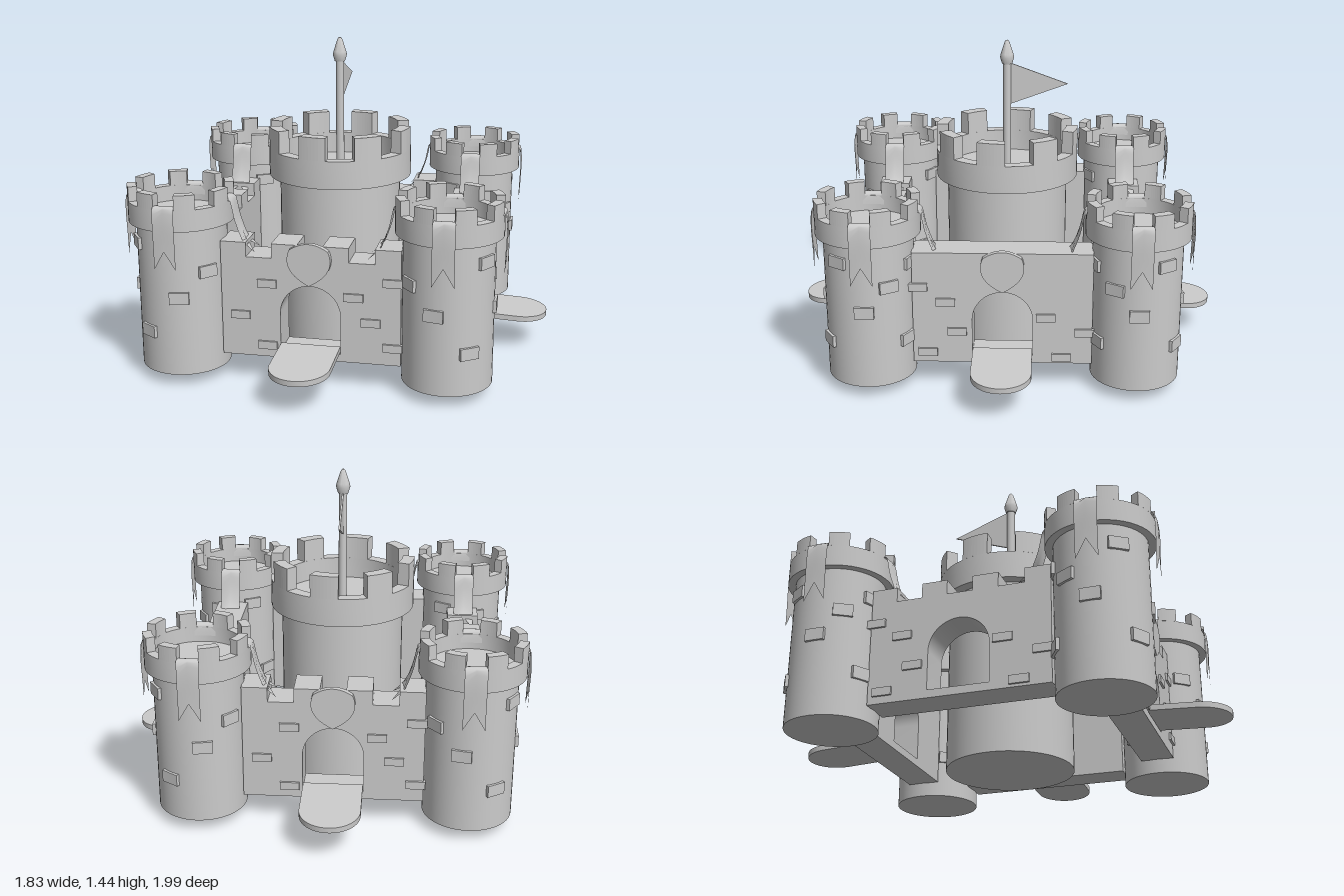
import * as THREE from 'three';
import { toCreasedNormals } from 'three/addons/utils/BufferGeometryUtils.js';

const grey = new THREE.MeshStandardMaterial({ color: 0xcccccc });
const cloth = new THREE.MeshStandardMaterial({ color: 0xcccccc, side: THREE.DoubleSide });

function add(parent, name, geometry, x = 0, y = 0, z = 0, material = grey) {
  const mesh = new THREE.Mesh(geometry, material);
  mesh.name = name;
  mesh.position.set(x, y, z);
  parent.add(mesh);
  return mesh;
}

function group(parent, name) {
  const g = new THREE.Group();
  g.name = name;
  parent.add(g);
  return g;
}

function extrude(shape, depth, curveSegments = 16) {
  return new THREE.ExtrudeGeometry(shape, { depth, bevelEnabled: false, curveSegments });
}

function lathe(points, segments = 48) {
  const g = new THREE.LatheGeometry(points.map(([r, y]) => new THREE.Vector2(r, y)), segments);
  return toCreasedNormals(g, 0.6);
}

// Round tower: shaft, hollow crown with a sunken floor, and eight merlons
function roundTower(parent, name, { bottom, ledge, floor, sill, top, shaft, inner, outer, turn }) {
  const tower = group(parent, name);
  add(tower, 'shaft', lathe([
    [0, bottom], [shaft, bottom], [shaft, ledge], [outer, ledge],
    [outer, sill], [inner, sill], [inner, floor], [0, floor],
  ]));
  const step = Math.PI / 8;
  const sector = new THREE.Shape();
  sector.absarc(0, 0, outer, 0, step, false);
  sector.absarc(0, 0, inner, step, 0, true);
  sector.closePath();
  const merlon = extrude(sector, top - sill, 4);
  merlon.rotateX(-Math.PI / 2);
  for (let i = 0; i < 8; i++) {
    add(tower, 'merlon', merlon, 0, sill, 0).rotation.y = i * 2 * step + turn;
  }
  return tower;
}

// Cloth strip following a path of [radius, height], with a swallow-tail end
function bannerGeometry(path) {
  const curve = new THREE.CatmullRomCurve3(
    path.map(([r, y]) => new THREE.Vector3(0, y, r)), false, 'catmullrom', 0.3);
  const rows = 16, pos = [], index = [];
  for (let i = 0; i <= rows; i++) {
    for (let j = -1; j <= 1; j++) {
      const p = curve.getPoint(j === 0 ? i / rows * 0.87 : i / rows);
      pos.push(j * 0.047, p.y, p.z + (j === 0 ? 0.004 : 0));
    }
  }
  for (let i = 0; i < rows; i++) {
    for (let j = 0; j < 2; j++) {
      const a = i * 3 + j, b = a + 3;
      index.push(a, b, a + 1, b, b + 1, a + 1);
    }
  }
  const g = new THREE.BufferGeometry();
  g.setAttribute('position', new THREE.Float32BufferAttribute(pos, 3));
  g.setIndex(index);
  g.computeVertexNormals();
  return g;
}

// Arched curtain wall facing +z
function curtainWall(parent, name, { crenels, gate, bricks }) {
  const wall = group(parent, name);
  const half = 0.395, back = 0.51, depth = 0.15, face = back + depth;

  const shape = new THREE.Shape();
  shape.moveTo(-half, 0.12);
  shape.lineTo(half, 0.12);
  if (crenels) {
    // seven equal bays, alternately high and low
    const bay = half * 2 / 7;
    for (let i = 0; i < 7; i++) {
      const y = i % 2 ? 0.575 : 0.64;
      shape.lineTo(half - i * bay, y);
      shape.lineTo(half - (i + 1) * bay, y);
    }
  } else {
    shape.lineTo(half, 0.64);
    shape.lineTo(-half, 0.64);
  }
  const arch = new THREE.Path();
  arch.moveTo(-0.133, 0.155);
  arch.lineTo(-0.133, 0.325);
  arch.absarc(0, 0.325, 0.133, Math.PI, 0, true);
  arch.lineTo(0.133, 0.155);
  arch.closePath();
  shape.holes.push(arch);
  add(wall, 'archedWall', toCreasedNormals(extrude(shape, depth), 0.5), 0, 0, back);

  const brick = new THREE.BoxGeometry(0.085, 0.036, 0.02);
  for (const [x, y] of bricks) add(wall, 'brick', brick, x, y, face);

  if (gate) {
    // lowered bridge with a rounded end
    const plank = new THREE.Shape();
    plank.moveTo(-0.131, 0);
    plank.lineTo(0.131, 0);
    plank.lineTo(0.131, 0.211);
    plank.absarc(0, 0.211, 0.131, 0, Math.PI, false);
    plank.closePath();
    const bridge = extrude(plank, 0.025);
    bridge.rotateX(Math.PI / 2);
    add(wall, 'drawbridge', toCreasedNormals(bridge, 0.5), 0, 0.188, 0.655).rotation.x = 0.05;

    // plain shield above the arch
    const crest = new THREE.Shape();
    crest.moveTo(-0.085, 0.625);
    crest.quadraticCurveTo(0, 0.685, 0.085, 0.625);
    crest.quadraticCurveTo(0.125, 0.53, 0, 0.467);
    crest.quadraticCurveTo(-0.125, 0.53, -0.085, 0.625);
    add(wall, 'shield', toCreasedNormals(extrude(crest, 0.025), 0.5), 0, 0, face);
  }
  return wall;
}

export function createModel() {
  const model = new THREE.Group();
  model.name = 'castle';
  const castle = group(model, 'castleBody');
  castle.position.x = -0.09;

  // Central keep
  const keep = roundTower(castle, 'keep', {
    bottom: 0, ledge: 0.8, floor: 0.83, sill: 0.93, top: 1.035,
    shaft: 0.285, inner: 0.28, outer: 0.335, turn: -Math.PI / 8,
  });
  add(keep, 'flagpole', new THREE.CylinderGeometry(0.019, 0.019, 0.51, 20), 0, 1.08, 0);
  add(keep, 'finial', lathe([
    [0, 1.33], [0.024, 1.33], [0.033, 1.36], [0.03, 1.375], [0.012, 1.43], [0.006, 1.44], [0, 1.44],
  ], 20));
  const pennant = new THREE.Shape([
    new THREE.Vector2(0.01, 1.135), new THREE.Vector2(0.285, 1.235), new THREE.Vector2(0.01, 1.335),
  ]);
  add(keep, 'flag', extrude(pennant, 0.008), -0.004).rotation.y = Math.PI / 2;

  // Corner towers with banners and scattered bricks
  const hanging = bannerGeometry([
    [0.182, 0.77], [0.188, 0.815], [0.21, 0.825], [0.235, 0.815], [0.24, 0.74], [0.237, 0.65], [0.235, 0.55],
  ]);
  const draped = bannerGeometry([
    [0.182, 0.77], [0.188, 0.815], [0.21, 0.825], [0.235, 0.81], [0.252, 0.73], [0.285, 0.64], [0.34, 0.588],
  ]);
  const brick = new THREE.BoxGeometry(0.085, 0.053, 0.03);
  const towerBricks = [
    [-56, 0.63], [12, 0.41], [-33, 0.245], [-90, 0.41], [-122, 0.52], [-150, 0.25],
    [150, 0.63], [178, 0.41], [50, 0.52], [95, 0.41], [125, 0.25], [-160, 0.6],
  ];
  for (const sx of [-1, 1]) {
    for (const sz of [-1, 1]) {
      const tower = roundTower(castle, 'cornerTower', {
        bottom: 0.055, ledge: 0.715, floor: 0.74, sill: 0.81, top: 0.875,
        shaft: 0.197, inner: 0.19, outer: 0.23, turn: Math.PI / 16,
      });
      tower.position.set(sx * 0.588, 0, sz * 0.588);
      for (let i = 0; i < 4; i++) {
        const a = i * Math.PI / 2;
        const inward = Math.sin(a) * sx + Math.cos(a) * sz < 0;
        add(tower, 'banner', inward ? draped : hanging, 0, 0, 0, cloth).rotation.y = a;
      }
      for (const [deg, y] of towerBricks) {
        const a = THREE.MathUtils.degToRad(-sx * sz * deg + (sz < 0 ? 180 : 0));
        add(tower, 'brick', brick, Math.sin(a) * 0.192, y, Math.cos(a) * 0.192).rotation.y = a;
      }
    }
  }

  // Curtain walls: front, left, back, right
  const longBricks = [
    [-0.19, 0.46], [0.19, 0.42], [-0.31, 0.31], [0.265, 0.31], [-0.19, 0.175], [0.36, 0.495], [0.36, 0.2],
  ];
  const sideBricks = [
    [-0.37, 0.48], [-0.25, 0.41], [-0.2, 0.27], [-0.33, 0.17], [0.36, 0.27], [0.19, 0.34], [0.26, 0.15],
  ];
  const walls = [
    ['frontWall', { crenels: true, gate: true, bricks: longBricks }],
    ['leftWall', { crenels: false, gate: true, bricks: sideBricks }],
    ['backWall', { crenels: true, gate: true, bricks: longBricks }],
    ['rightWall', { crenels: true, gate: false, bricks: sideBricks }],
  ];
  walls.forEach(([name, options], i) => {
    curtainWall(castle, name, options).rotation.y = i * Math.PI / 2;
  });

  return model;
}
